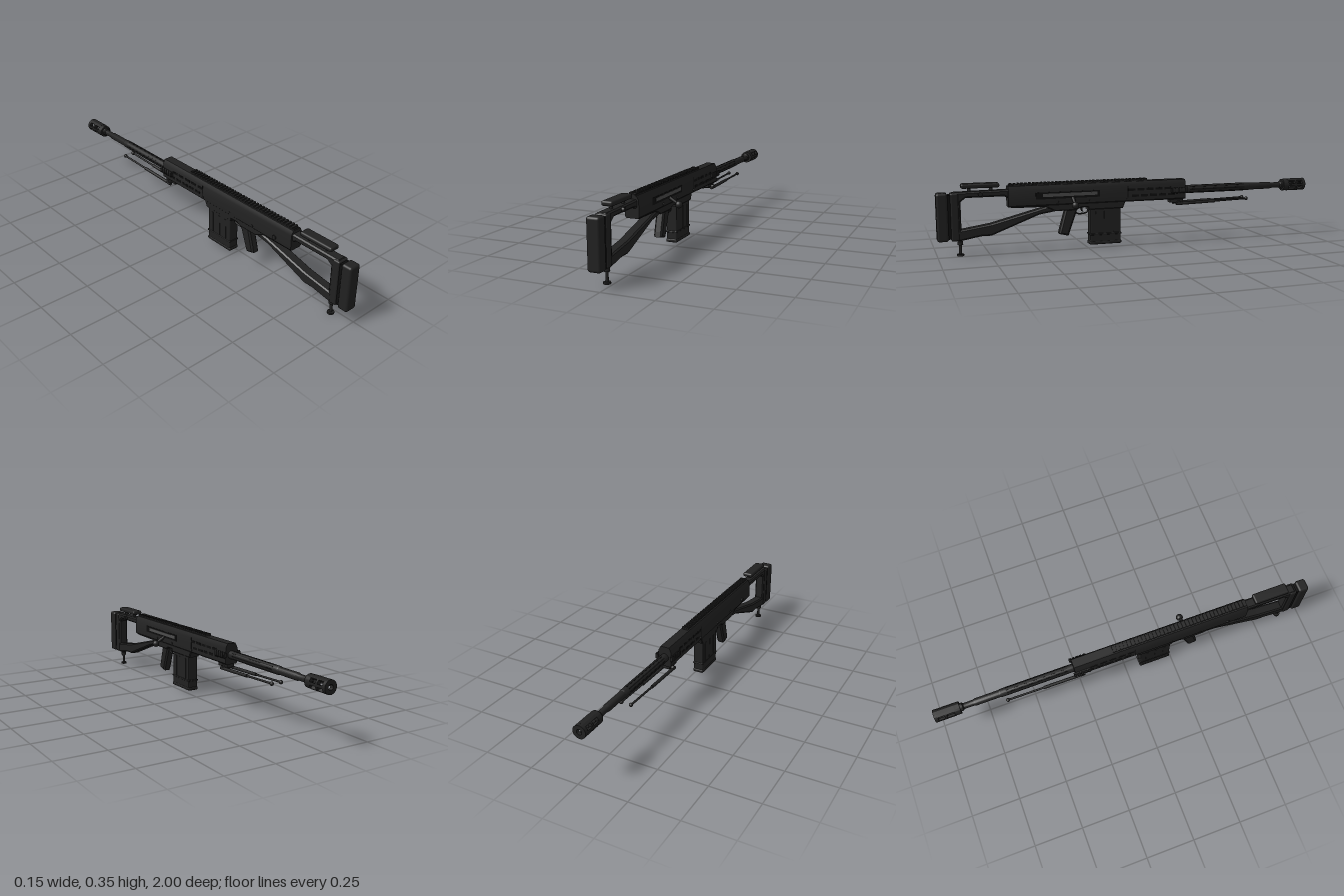
import * as THREE from 'three';
import { RoundedBoxGeometry } from 'three/addons/geometries/RoundedBoxGeometry.js';
import { toCreasedNormals } from 'three/addons/utils/BufferGeometryUtils.js';

const mat = (name, color) => {
  const m = new THREE.MeshStandardMaterial({ color });
  m.name = name;
  return m;
};

export function createModel() {
  const body = mat('gunmetal black', 0x212121);
  const dark = mat('recess black', 0x0e0e0e);
  const steel = mat('bolt steel', 0x4c4c4c);

  const model = new THREE.Group();
  model.name = 'longRifle';
  const rifle = new THREE.Group(); // the rifle's midplane sits a little to one side
  rifle.name = 'rifle';
  rifle.position.x = -0.027;
  model.add(rifle);

  const add = (name, geo, x = 0, y = 0, z = 0, m = body) => {
    const mesh = new THREE.Mesh(geo, m);
    mesh.name = name;
    mesh.position.set(x, y, z);
    rifle.add(mesh);
    return mesh;
  };
  const box = (name, w, h, d, x, y, z, m) => add(name, new THREE.BoxGeometry(w, h, d), x, y, z, m);
  const rbox = (name, w, h, d, x, y, z, r) => add(name, new RoundedBoxGeometry(w, h, d, 3, r), x, y, z);
  const shapeOf = pts => new THREE.Shape(pts.map(p => new THREE.Vector2(...p)));

  // Side profile given as [z, y], extruded across x
  const side = (name, pts, width, bevel = 0.004, m = body) => {
    const depth = width - 2 * bevel;
    const g = new THREE.ExtrudeGeometry(shapeOf(pts), {
      depth, bevelEnabled: bevel > 0, bevelSize: bevel, bevelOffset: -bevel,
      bevelThickness: bevel, bevelSegments: 1,
    });
    g.translate(0, 0, -depth / 2).rotateY(-Math.PI / 2);
    return add(name, g, 0, 0, 0, m);
  };
  // Cross-section given as [x, y], extruded along z from z0 to z1
  const along = (name, shape, z0, z1, m = body) => {
    const g = new THREE.ExtrudeGeometry(shape, { depth: z1 - z0, bevelEnabled: false, curveSegments: 24 });
    return add(name, toCreasedNormals(g, 0.6), 0, 0, z0, m);
  };
  // Round bar between two points
  const rod = (name, a, b, r0, r1 = r0, m = body) => {
    const p = new THREE.Vector3(...a), q = new THREE.Vector3(...b), d = q.clone().sub(p);
    const mesh = add(name, new THREE.CylinderGeometry(r1, r0, d.length(), 20), 0, 0, 0, m);
    mesh.position.copy(p).add(q).multiplyScalar(0.5);
    mesh.quaternion.setFromUnitVectors(new THREE.Vector3(0, 1, 0), d.normalize());
    return mesh;
  };

  // Receiver and handguard
  along('receiver', shapeOf([[-0.034, 0.236], [-0.028, 0.23], [0.028, 0.23], [0.034, 0.236],
    [0.034, 0.312], [0.023, 0.334], [-0.023, 0.334], [-0.034, 0.312]]), -0.28, 0.655);
  side('lowerReceiver', [[0.655, 0.25], [0.64, 0.226], [0.47, 0.224], [0.42, 0.2], [0.31, 0.2],
    [0.29, 0.212], [0.25, 0.212], [0.25, 0.198], [0.065, 0.198], [0.05, 0.235], [0.05, 0.25]], 0.06);
  box('handguardSeam', 0.0695, 0.075, 0.004, 0, 0.274, 0.04, dark);

  // Top rail with teeth
  box('topRail', 0.03, 0.008, 0.72, 0, 0.336, 0.29);
  for (let i = 0; i < 37; i++) box('railTooth', 0.036, 0.007, 0.011, 0, 0.342, -0.063 + i * 0.0195);

  // Ejection port, bolt and its handle on the left side
  box('ejectionPort', 0.003, 0.034, 0.33, 0.0345, 0.281, 0.355, dark);
  box('boltBody', 0.003, 0.016, 0.28, 0.036, 0.283, 0.345, steel);
  rod('boltHandle', [0.025, 0.268, 0.33], [0.078, 0.236, 0.33], 0.009, 0.007);
  add('boltKnob', new THREE.SphereGeometry(0.018, 20, 14), 0.082, 0.233, 0.33);

  // Handguard vents and short side rails, mirrored
  for (const s of [-1, 1]) {
    for (let i = 0; i < 5; i++) {
      box('upperVent', 0.002, 0.012, 0.038, s * 0.0342, 0.292, 0.02 - i * 0.05, dark);
      box('lowerVent', 0.002, 0.012, 0.038, s * 0.0342, 0.26, 0.0 - i * 0.05, dark);
    }
    box('sideRailBase', 0.012, 0.02, 0.09, s * 0.038, 0.279, -0.243);
    for (let i = 0; i < 5; i++) {
      along('sideRailTooth', shapeOf([[s * 0.039, 0.27], [s * 0.044, 0.263], [s * 0.048, 0.268],
        [s * 0.048, 0.29], [s * 0.044, 0.296], [s * 0.039, 0.288]]), -0.288 + i * 0.0185, -0.276 + i * 0.0185);
    }
    for (const z of [0.04, 0.24, 0.4]) rod('crossPin', [s * 0.02, 0.245, z], [s * 0.036, 0.245, z], 0.007);
  }
  rod('safetyKnob', [-0.02, 0.255, 0.55], [-0.039, 0.255, 0.55], 0.011);

  // Barrel
  const barrel = [[0.001, 0.25], [0.021, 0.25], [0.021, 0.66], [0.0185, 0.665], [0.0185, 0.79],
    [0.015, 0.8], [0.015, 0.85], [0.021, 0.855], [0.021, 0.875], [0.001, 0.88]];
  const barrelGeo = new THREE.LatheGeometry(barrel.map(p => new THREE.Vector2(...p)), 24);
  add('barrel', toCreasedNormals(barrelGeo, 0.5).rotateX(-Math.PI / 2), 0, 0.277, 0);
  for (let i = 0; i < 8; i++) { // flutes along the thick part
    const a = i * Math.PI / 4;
    const f = box('barrelFlute', 0.006, 0.002, 0.32, Math.cos(a) * 0.0205, 0.277 + Math.sin(a) * 0.0205, -0.47, dark);
    f.rotation.z = a + Math.PI / 2;
  }

  // Muzzle brake: rings joined by curved bars, with ports between
  const ring = (name, r0, r1, z0, z1) => {
    const s = new THREE.Shape().absarc(0, 0.277, r1, 0, Math.PI * 2, false);
    s.holes.push(new THREE.Path().absarc(0, 0.277, r0, 0, Math.PI * 2, true));
    along(name, s, z0, z1);
  };
  ring('brakeCollar', 0.012, 0.032, -0.9, -0.868);
  ring('brakeMiddle', 0.013, 0.033, -0.949, -0.938);
  ring('brakeFront', 0.013, 0.033, -1.0, -0.982);
  for (const [a, w] of [[0, 0.2], [Math.PI / 2, 0.75], [Math.PI, 0.2], [-Math.PI / 2, 0.75]]) {
    const s = new THREE.Shape().absarc(0, 0.277, 0.033, a - w, a + w, false);
    s.absarc(0, 0.277, 0.02, a + w, a - w, true);
    along('brakeBar', s, -0.985, -0.895);
  }

  // Folded bipod
  box('bipodMount', 0.04, 0.024, 0.075, 0, 0.224, -0.235);
  rod('bipodHinge', [-0.033, 0.21, -0.245], [0.033, 0.21, -0.245], 0.011);
  for (const s of [-1, 1]) {
    rod('bipodUpperLeg', [s * 0.026, 0.205, -0.23], [s * 0.026, 0.21, -0.45], 0.008);
    rod('bipodLowerLeg', [s * 0.026, 0.21, -0.45], [s * 0.026, 0.215, -0.635], 0.005);
    add('bipodFoot', new THREE.SphereGeometry(0.01, 14, 10), s * 0.026, 0.215, -0.638);
  }

  // Magazine with ribs and a wider floor plate
  rbox('magazine', 0.054, 0.2, 0.162, 0, 0.125, 0.158, 0.005);
  rbox('magazineBand', 0.059, 0.009, 0.169, 0, 0.069, 0.158, 0.003);
  rbox('magazineFloor', 0.057, 0.017, 0.169, 0, 0.024, 0.158, 0.005);
  for (const s of [-1, 1]) for (const z of [0.11, 0.16, 0.205]) {
    box('magazineRib', 0.003, 0.11, 0.012, s * 0.0275, 0.132, z);
  }

  // Pistol grip, trigger and guard
  side('pistolGrip', [[0.365, 0.21], [0.302, 0.21], [0.312, 0.18], [0.352, 0.068], [0.4, 0.08], [0.394, 0.105]], 0.044, 0.008);
  side('trigger', [[0.288, 0.215], [0.272, 0.215], [0.276, 0.195], [0.268, 0.183], [0.28, 0.19]], 0.012, 0.001);
  const guard = new THREE.CatmullRomCurve3([[0.31, 0.186], [0.3, 0.178], [0.265, 0.178], [0.248, 0.186], [0.245, 0.205]]
    .map(([z, y]) => new THREE.Vector3(0, y, z)));
  add('triggerGuard', new THREE.TubeGeometry(guard, 20, 0.004, 8));

  // Skeleton stock
  side('stockFrame', [[0.93, 0.077], [0.936, 0.09], [0.936, 0.3], [0.92, 0.314], [0.64, 0.318], [0.64, 0.27],
    [0.675, 0.286], [0.86, 0.286], [0.884, 0.268], [0.884, 0.13], [0.74, 0.152], [0.46, 0.224], [0.41, 0.215],
    [0.41, 0.2], [0.5, 0.186], [0.74, 0.094], [0.79, 0.094], [0.885, 0.077]], 0.052, 0.007);
  rbox('stockPlate', 0.06, 0.232, 0.038, 0, 0.195, 0.914, 0.008);
  box('padSpacer', 0.048, 0.215, 0.02, 0, 0.195, 0.942, dark);
  rbox('recoilPad', 0.064, 0.236, 0.055, 0, 0.195, 0.9725, 0.012);

  // Cheek rest
  rbox('cheekRest', 0.055, 0.023, 0.185, 0, 0.3425, 0.788, 0.009);
  for (const z of [0.735, 0.84]) rod('cheekPost', [0, 0.3, z], [0, 0.336, z], 0.008);
  rod('cheekKnob', [0.02, 0.302, 0.79], [0.038, 0.302, 0.79], 0.01);

  // Rear monopod
  rod('monopodStem', [0, 0.005, 0.89], [0, 0.09, 0.89], 0.007);
  rod('monopodCollar', [0, 0.055, 0.89], [0, 0.072, 0.89], 0.014);
  rod('monopodFoot', [0, 0, 0.89], [0, 0.009, 0.89], 0.017);

  return model;
}
